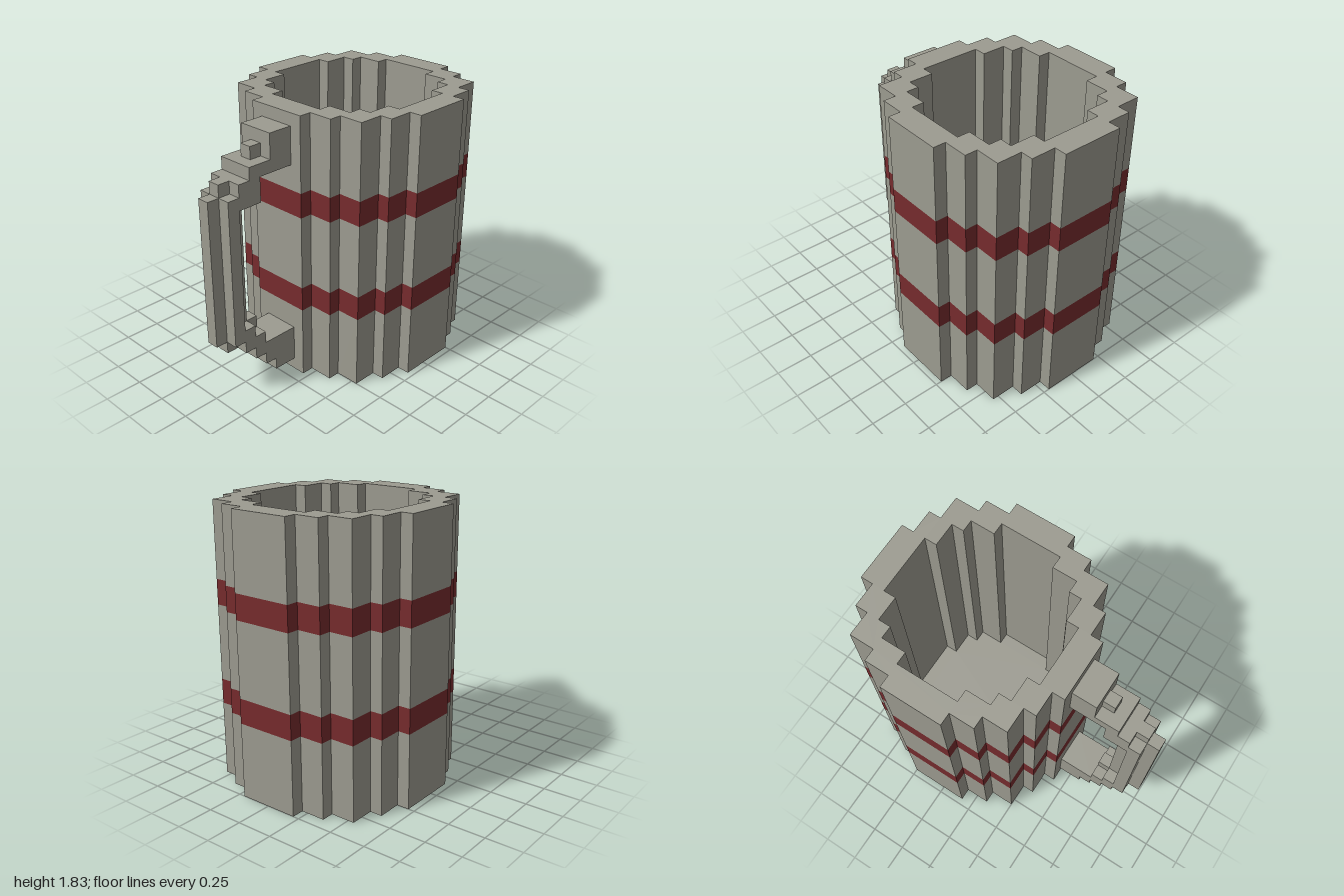
import * as THREE from 'three';

const CX = 3.5; // body axis, in blocks (12 blocks = 1 unit)

// Full stepped outline, counter-clockwise, from the corners of one quarter
function outline(steps) {
  const q = [];
  steps.forEach(([x, y], i) => {
    q.push([x, y]);
    if (steps[i + 1]) q.push([steps[i + 1][0], y]);
  });
  const half = [...q, ...q.map(([x, y]) => [-x, y]).reverse()];
  return [...half, ...half.map(([x, y]) => [x, -y]).reverse()].map(([x, y]) => new THREE.Vector2(x, y));
}

// Upright wall along an outline, facing outwards (or inwards if reversed)
function wallGeometry(points, y0, y1) {
  const pos = [];
  points.forEach((a, i) => {
    const b = points[(i + 1) % points.length];
    pos.push(a.x, y0, -a.y, b.x, y0, -b.y, b.x, y1, -b.y);
    pos.push(a.x, y0, -a.y, b.x, y1, -b.y, a.x, y1, -a.y);
  });
  const g = new THREE.BufferGeometry();
  g.setAttribute('position', new THREE.Float32BufferAttribute(pos, 3));
  g.computeVertexNormals();
  return g;
}

export function createModel() {
  const model = new THREE.Group();
  model.name = 'mug';
  const clay = new THREE.MeshStandardMaterial({ name: 'warm grey', color: 0x9c9b90 });
  const red = new THREE.MeshStandardMaterial({ name: 'dark red', color: 0x762b2d });

  const add = (name, geometry, material, parent) => {
    const mesh = new THREE.Mesh(geometry, material);
    mesh.name = name;
    parent.add(mesh);
    return mesh;
  };

  // Body
  const body = new THREE.Group();
  body.name = 'body';
  body.position.x = CX;
  model.add(body);
  const outer = outline([[8.5, 2.5], [7.5, 4.5], [6.5, 6.5], [4.5, 7.5], [2.5, 8.5]]);
  const inner = outline([[6.5, 2.5], [5.5, 4.5], [4.5, 5.5], [2.5, 6.5]]);
  const HEIGHT = 22, FLOOR = 2;

  // Outer wall with two flush red bands
  [[0, 6], [6, 8], [8, 14], [14, 16], [16, HEIGHT]].forEach(([y0, y1], i) => {
    const band = i % 2 === 1;
    add(band ? 'band' : 'outerWall', wallGeometry(outer, y0, y1), band ? red : clay, body);
  });
  add('innerWall', wallGeometry([...inner].reverse(), FLOOR, HEIGHT), clay, body);

  // Rim, inside floor and underside
  const ring = new THREE.Shape(outer);
  ring.holes.push(new THREE.Path(inner));
  const flat = (shape, up) => new THREE.ShapeGeometry(shape).rotateX(up ? -Math.PI / 2 : Math.PI / 2);
  add('rim', flat(ring, true), clay, body).position.y = HEIGHT;
  add('innerFloor', flat(new THREE.Shape(inner), true), clay, body).position.y = FLOOR;
  add('underside', flat(new THREE.Shape(outer), false), clay, body);

  // Handle: stepped bracket, three blocks thick
  const handle = new THREE.Group();
  handle.name = 'handle';
  model.add(handle);
  const profile = [
    [-5, 21], [-7, 21], [-7, 19], [-9, 19], [-9, 18], [-10, 18], [-10, 17], [-11, 17],
    [-11, 5], [-10, 5], [-10, 4], [-9, 4], [-9, 3], [-8, 3], [-8, 2], [-7, 2], [-7, 1], [-5, 1],
    [-5, 4], [-8, 4], [-8, 5], [-9, 5], [-9, 6], [-10, 6], [-10, 16], [-8, 16], [-8, 18], [-5, 18],
  ].map(([x, y]) => new THREE.Vector2(x, y));
  const bracket = new THREE.ExtrudeGeometry(new THREE.Shape(profile), { depth: 3, bevelEnabled: false });
  add('bracket', bracket.translate(0, 0, -1.5), clay, handle);

  // Single-block ridges and corner fillers along the middle: [left, bottom, height]
  [[-12, 5, 12], [-10, 6, 10], [-11, 17, 1], [-11, 4, 1], [-8, 19, 1], [-9, 5, 1]].forEach(([x, y, h]) => {
    add(h > 1 ? 'gripRidge' : 'cornerBlock', new THREE.BoxGeometry(1, h, 1), clay, handle)
      .position.set(x + 0.5, y + h / 2, 0);
  });

  model.scale.setScalar(1 / 12);
  return model;
}
